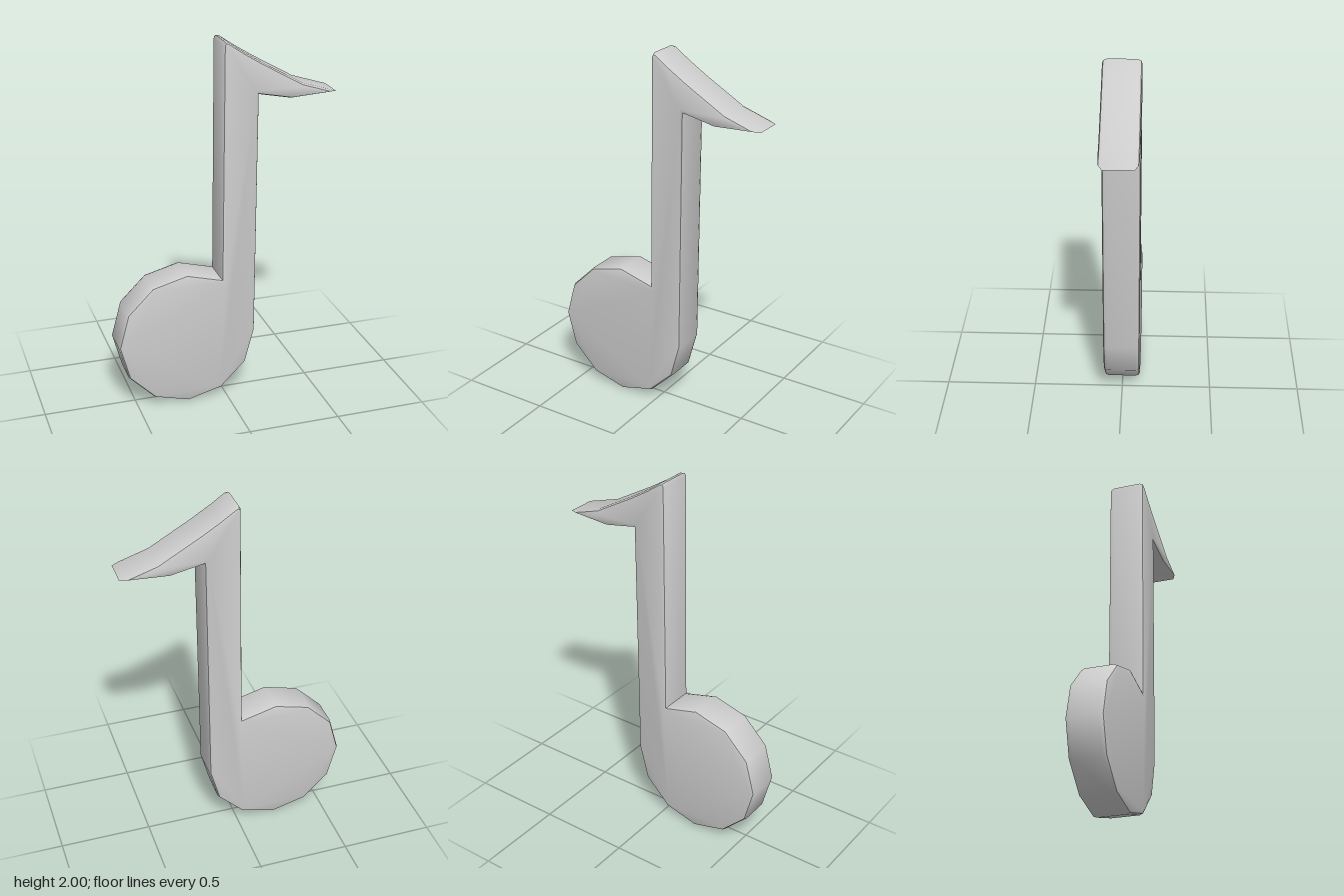
import * as THREE from 'three';
import { toCreasedNormals } from 'three/addons/utils/BufferGeometryUtils.js';

const V = (x, y) => new THREE.Vector2(x, y);

// Counter-clockwise outline: twelve-sided head, stem and curved flag
function noteOutline() {
  const pts = [];
  for (let i = 2; i <= 12; i++) {
    const a = (i * Math.PI) / 6;
    pts.push(V(-0.219 + 0.381 * Math.cos(a), 0.383 + 0.381 * Math.sin(a)));
  }
  pts.push(
    V(0.175, 1.715), V(0.35, 1.68), V(0.6, 1.695), // underside of flag
    V(0.41, 1.755), V(0.19, 1.88), V(0.09, 1.942), // top of flag
    V(0.01, 1.997), V(-0.008, 2.0), V(-0.017, 1.983) // rounded stem top
  );
  return pts;
}

// Moves every edge of a closed outline inward by d, with mitred corners
function inset(pts, d) {
  const n = pts.length;
  return pts.map((p, i) => {
    const a = p.clone().sub(pts[(i + n - 1) % n]).normalize();
    const b = pts[(i + 1) % n].clone().sub(p).normalize();
    const na = V(-a.y, a.x), nb = V(-b.y, b.x);
    const k = d / (1 + na.dot(nb));
    return p.clone().add(na.add(nb).multiplyScalar(k));
  });
}

// Thick plate with rounded rims, built from inset copies of the outline
function roundedPlate(outline) {
  const layers = [
    [-0.1, 0.02], [-0.095, 0.007], [-0.076, 0],
    [0.076, 0], [0.095, 0.007], [0.1, 0.02]
  ];
  const n = outline.length;
  const pos = [], index = [];
  for (const [z, d] of layers) {
    for (const p of inset(outline, d)) pos.push(p.x, p.y, z);
  }
  // Side walls and rims
  for (let l = 0; l < layers.length - 1; l++) {
    for (let i = 0; i < n; i++) {
      const j = (i + 1) % n;
      const a = l * n + i, b = l * n + j;
      index.push(a, b, b + n, a, b + n, a + n);
    }
  }
  // Front and back faces
  const top = (layers.length - 1) * n;
  for (const [a, b, c] of THREE.ShapeUtils.triangulateShape(inset(outline, 0.02), [])) {
    index.push(top + a, top + b, top + c, a, c, b);
  }
  const geo = new THREE.BufferGeometry();
  geo.setAttribute('position', new THREE.Float32BufferAttribute(pos, 3));
  geo.setIndex(index);
  return toCreasedNormals(geo, 0.8);
}

export function createModel() {
  const group = new THREE.Group();
  group.name = 'eighthNote';
  const note = new THREE.Mesh(
    roundedPlate(noteOutline()),
    new THREE.MeshStandardMaterial({ color: 0xcccccc })
  );
  note.name = 'noteBody';
  group.add(note);
  return group;
}
